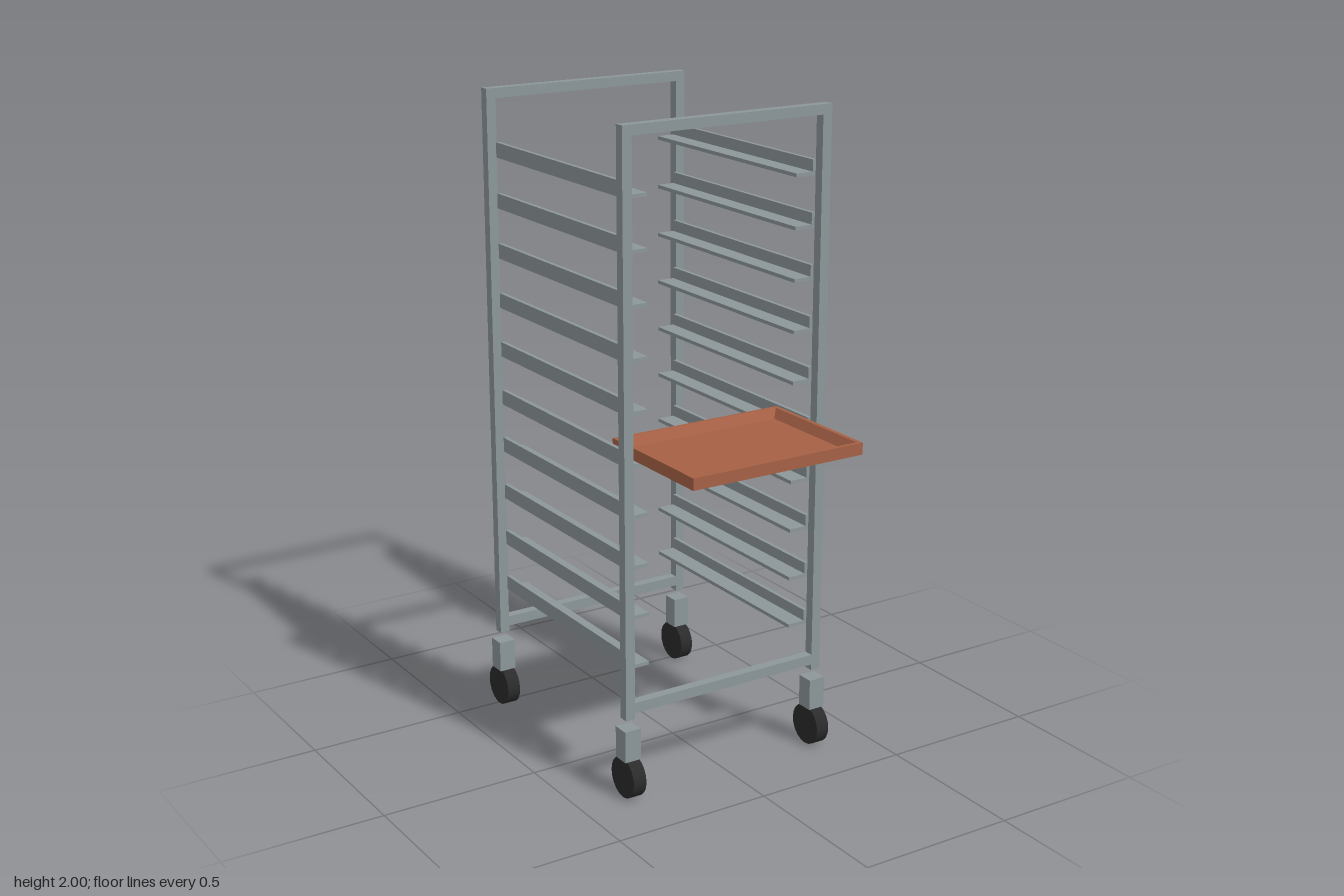
import * as THREE from 'three';

const material = (name, color) => Object.assign(new THREE.MeshStandardMaterial({ color }), { name });

export function createModel() {
  const steel = material('steel', 0x8c9799);
  const rubber = material('rubber', 0x2b2b2b);
  const copper = material('copper', 0xa66145);
  const rack = new THREE.Group();
  rack.name = 'trayRack';

  const add = (name, geometry, mat, x, y, z) => {
    const mesh = new THREE.Mesh(geometry, mat);
    mesh.name = name;
    mesh.position.set(x, y, z);
    rack.add(mesh);
    return mesh;
  };
  // Box given by its min and max corners
  const box = (name, mat, [x0, x1], [y0, y1], [z0, z1]) =>
    add(name, new THREE.BoxGeometry(x1 - x0, y1 - y0, z1 - z0), mat,
      (x0 + x1) / 2, (y0 + y1) / 2, (z0 + z1) / 2);
  const around = (c, size) => [c - size / 2, c + size / 2];
  const side = (s, a, b) => (s > 0 ? [a, b] : [-b, -a]);

  const zFront = 0.278, zBack = -0.494, postX = 0.335, tube = 0.031;

  // End frames with casters
  for (const z of [zFront, zBack]) {
    const depth = around(z, tube);
    const inner = postX - tube / 2;
    box('topBar', steel, [-inner, inner], [1.97, 2], depth);
    box('bottomBar', steel, [-inner, inner], [0.27, 0.302], depth);
    for (const s of [-1, 1]) {
      box('post', steel, around(s * postX, tube), [0.251, 2], depth);
      box('casterFork', steel, around(s * 0.334, 0.054), [0.123, 0.222], around(z, 0.054));
      const wheel = add('casterWheel', new THREE.CylinderGeometry(0.064, 0.064, 0.043, 20),
        rubber, s * 0.333, 0.064, z);
      wheel.rotation.z = Math.PI / 2;
    }
  }

  // Ten pairs of L-shaped runners
  const length = [zBack + tube / 2, zFront - tube / 2];
  for (let i = 0; i < 10; i++) {
    const y = 0.397 + i * 0.155;
    for (const s of [-1, 1]) {
      box('runnerLedge', steel, side(s, 0.252, 0.322), [y, y + 0.011], length);
      box('runnerWall', steel, side(s, 0.309, 0.322), [y + 0.011, y + 0.046], length);
    }
  }

  // Tray pulled halfway out
  add('tray', trayGeometry(0.29, 0.212), copper, 0, 1.032, 0.343);
  return rack;
}

// Shallow tray lofted through rectangular rings: base, rim, sloped inner wall, floor
function trayGeometry(halfX, halfZ) {
  const rings = [[null, 0], [0, 0], [0, 0.036], [0.013, 0.036], [0.03, 0.008], [null, 0.008]];
  const corner = ([inset, y], k) => {
    if (inset === null) return [0, y, 0];
    const sx = k % 4 === 0 || k % 4 === 3 ? 1 : -1;
    const sz = k % 4 < 2 ? 1 : -1;
    return [sx * (halfX - inset), y, sz * (halfZ - inset)];
  };
  const points = [];
  for (let r = 0; r < rings.length - 1; r++) {
    for (let k = 0; k < 4; k++) {
      const a = corner(rings[r], k), b = corner(rings[r], k + 1);
      const c = corner(rings[r + 1], k + 1), d = corner(rings[r + 1], k);
      if (rings[r][0] !== null) points.push(...a, ...c, ...b);
      if (rings[r + 1][0] !== null) points.push(...a, ...d, ...c);
    }
  }
  const geometry = new THREE.BufferGeometry();
  geometry.setAttribute('position', new THREE.Float32BufferAttribute(points, 3));
  geometry.computeVertexNormals();
  return geometry;
}
